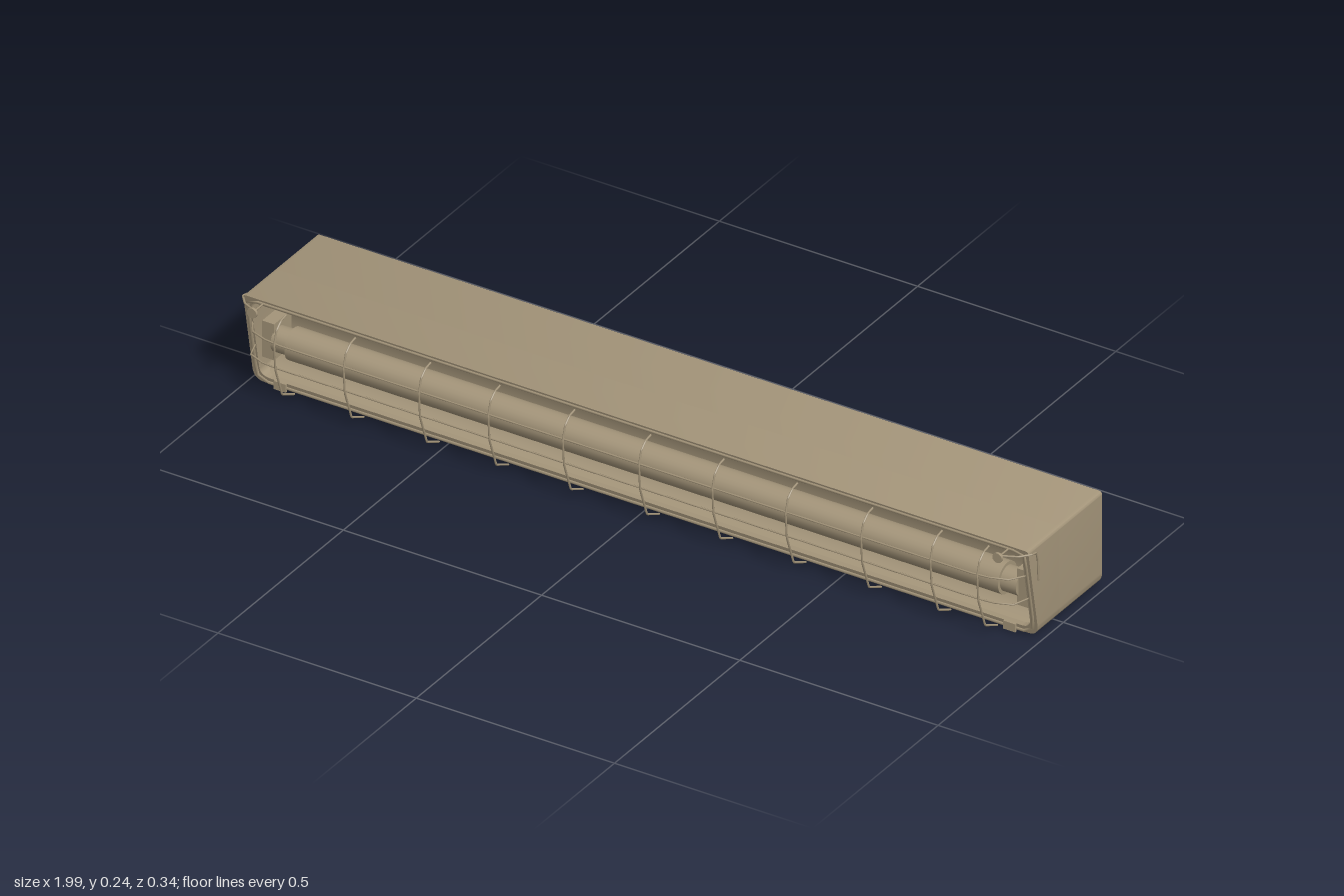
import * as THREE from 'three';
import { toCreasedNormals } from 'three/addons/utils/BufferGeometryUtils.js';

const paint = new THREE.MeshStandardMaterial({ color: 0xa39479 });
paint.name = 'tan paint';

const V = (x, y, z) => new THREE.Vector3(x, y, z);
const BACK = -0.17, CAVITY = 0.0;
// the front opening leans forward towards the top
const frontZ = (y) => 0.082 + (0.043 * (y - 0.006)) / 0.232;

// outline with rounded corners: r at the bottom, t at the top
function outline(Type, w, y0, y1, r, t) {
  const s = new Type();
  s.moveTo(-w + r, y0);
  s.lineTo(w - r, y0);
  s.quadraticCurveTo(w, y0, w, y0 + r);
  s.lineTo(w, y1 - t);
  s.quadraticCurveTo(w, y1, w - t, y1);
  s.lineTo(-w + t, y1);
  s.quadraticCurveTo(-w, y1, -w, y1 - t);
  s.lineTo(-w, y0 + r);
  s.quadraticCurveTo(-w, y0, -w + r, y0);
  return s;
}

function add(group, name, geometry) {
  const mesh = new THREE.Mesh(geometry, paint);
  mesh.name = name;
  group.add(mesh);
  return mesh;
}

// extrude an outline between two depths given as functions of height
function extrudeBetween(shape, from, to) {
  const g = new THREE.ExtrudeGeometry(shape, { depth: 1, bevelEnabled: false, curveSegments: 8 });
  const p = g.attributes.position;
  for (let i = 0; i < p.count; i++) {
    const y = p.getY(i);
    p.setZ(i, THREE.MathUtils.lerp(from(y), to(y), p.getZ(i)));
  }
  return toCreasedNormals(g, 0.6);
}

// round wire along straight segments
function wire(group, name, points, radius = 0.0022, closed = false) {
  const path = new THREE.CurvePath();
  const pts = closed ? [...points, points[0]] : points;
  for (let i = 1; i < pts.length; i++) path.add(new THREE.LineCurve3(pts[i - 1], pts[i]));
  return add(group, name, new THREE.TubeGeometry(path, pts.length * 6, radius, 6, closed));
}

function cylinderX(group, name, r, length, x, y, z) {
  const g = new THREE.CylinderGeometry(r, r, length, 24);
  g.rotateZ(Math.PI / 2);
  add(group, name, g).position.set(x, y, z);
}

export function createModel() {
  const model = new THREE.Group();
  model.name = 'cagedLamp';

  // housing: solid rear and hollow front
  const housing = new THREE.Group();
  housing.name = 'housing';
  model.add(housing);
  const outer = () => outline(THREE.Shape, 0.99, 0.006, 0.238, 0.03, 0.008);
  add(housing, 'housingRear', extrudeBetween(outer(), () => BACK, () => CAVITY));
  const ring = outer();
  ring.holes.push(outline(THREE.Path, 0.972, 0.022, 0.224, 0.025, 0.015));
  add(housing, 'housingRim', extrudeBetween(ring, () => CAVITY, frontZ));

  // curved reflector behind the lamp
  const bowl = new THREE.Shape();
  bowl.moveTo(0.0, 0.022);
  bowl.lineTo(0.07, 0.022);
  bowl.quadraticCurveTo(0.015, 0.04, 0.012, 0.12);
  bowl.quadraticCurveTo(0.015, 0.205, 0.09, 0.224);
  bowl.lineTo(0.0, 0.224);
  const bowlGeo = new THREE.ExtrudeGeometry(bowl, { depth: 1.94, bevelEnabled: false, curveSegments: 10 });
  bowlGeo.rotateY(-Math.PI / 2);
  bowlGeo.scale(-1, 1, 1);
  // mirroring swaps the winding, so turn the corners back
  const bp = bowlGeo.attributes.position;
  for (let i = 0; i < bp.count; i += 3) {
    const a = V().fromBufferAttribute(bp, i), b = V().fromBufferAttribute(bp, i + 1);
    bp.setXYZ(i, b.x, b.y, b.z);
    bp.setXYZ(i + 1, a.x, a.y, a.z);
  }
  bowlGeo.translate(-0.97, 0, 0);
  add(model, 'reflector', toCreasedNormals(bowlGeo, 0.6));

  // lamp tube with caps and sockets
  const lampY = 0.115, lampZ = 0.065;
  cylinderX(model, 'lampTube', 0.038, 1.8, 0, lampY, lampZ);
  for (const s of [-1, 1]) {
    cylinderX(model, 'lampCap', 0.03, 0.05, s * 0.915, lampY, lampZ);
    add(model, 'socket', new THREE.BoxGeometry(0.03, 0.09, 0.07)).position.set(s * 0.952, lampY, 0.05);
  }

  // wire cage
  const cage = new THREE.Group();
  cage.name = 'cage';
  model.add(cage);
  const hoop = [[0.12, 0.218], [0.14, 0.214], [0.158, 0.198], [0.167, 0.165],
    [0.162, 0.103], [0.135, 0.028], [0.087, 0.004]];
  for (const x of [-0.885, -0.71, -0.52, -0.345, -0.157, 0.035, 0.22, 0.405, 0.595, 0.77, 0.888]) {
    wire(cage, 'hoop', hoop.map(([z, y]) => V(x, y, z)), 0.0025);
  }
  for (const [y, z] of [[0.167, 0.163], [0.105, 0.158]]) {
    const end = [[0.975, frontZ(y)], [0.968, 0.135], [0.94, 0.152], [0.89, z]];
    wire(cage, 'longWire', [
      ...end.map(([x, d]) => V(-x, y, d)),
      ...end.reverse().map(([x, d]) => V(x, y, d)),
    ]);
  }

  // frame around the opening
  const framePts = outline(THREE.Shape, 0.98, 0.01, 0.23, 0.028, 0.012).getPoints(5);
  framePts.pop();
  wire(cage, 'frame', framePts.map((p) => V(p.x, p.y, frontZ(p.y))), 0.004, true);

  for (const s of [-1, 1]) {
    // screw knob, its rod and the side spring
    const knob = new THREE.CylinderGeometry(0.012, 0.012, 0.006, 16);
    knob.rotateX(Math.PI / 2);
    add(cage, 'knob', knob).position.set(s * 0.94, 0.23, 0.167);
    wire(cage, 'knobRod', [V(s * 0.94, 0.23, 0.167), V(s * 0.94, 0.23, 0.11)], 0.0025);
    wire(cage, 'sideSpring', [V(s * 0.94, 0.23, 0.158), V(s * 0.975, 0.23, 0.142),
      V(s * 0.995, 0.23, 0.118), V(s * 0.995, 0.226, 0.1), V(s * 0.995, 0.205, 0.094),
      V(s * 0.995, 0.152, 0.091)], 0.0025);
    // lower clip
    add(cage, 'lowerClip', new THREE.BoxGeometry(0.03, 0.02, 0.006)).position.set(s * 0.92, 0.012, 0.087);
  }

  return model;
}
